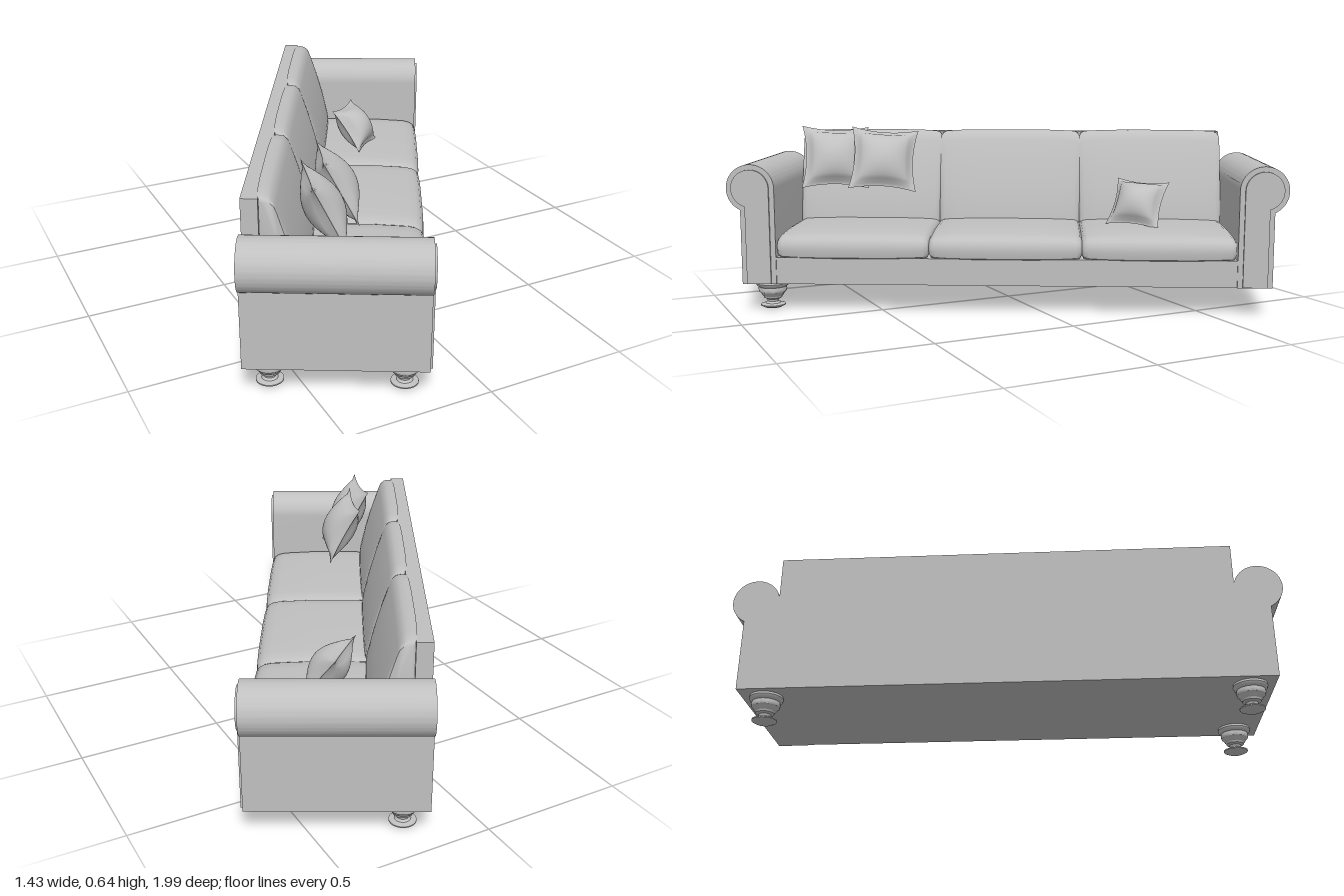
import * as THREE from 'three';
import { toCreasedNormals, mergeGeometries } from 'three/addons/utils/BufferGeometryUtils.js';

const fabric = new THREE.MeshStandardMaterial({ color: 0xc0c0c0 });
fabric.name = 'greyFabric';

function add(parent, name, geometry) {
  const mesh = new THREE.Mesh(geometry, fabric);
  mesh.name = name;
  parent.add(mesh);
  return mesh;
}

function box(parent, name, x0, x1, y0, y1, z0, z1) {
  const g = new THREE.BoxGeometry(x1 - x0, y1 - y0, z1 - z0);
  add(parent, name, g).position.set((x0 + x1) / 2, (y0 + y1) / 2, (z0 + z1) / 2);
}

// Cushion lofted along x from a [z, y] profile, drawn in towards both ends
function cushionGeometry(profile, x0, x1) {
  const ends = [[0, 1], [0, 0.022], [0.006, 0.012], [0.02, 0.006], [0.07, 0.003], [0.16, 0.001]];
  const stations = [
    ...ends.map(([d, inset]) => [x0 + d, inset]),
    ...ends.map(([d, inset]) => [x1 - d, inset]).reverse(),
  ];
  const zs = profile.map(p => p[0]), ys = profile.map(p => p[1]);
  const mid = a => (Math.min(...a) + Math.max(...a)) / 2;
  const half = a => (Math.max(...a) - Math.min(...a)) / 2;
  const cz = mid(zs), cy = mid(ys), hz = half(zs), hy = half(ys);
  const positions = [], index = [], n = profile.length;
  for (const [x, inset] of stations) {
    for (const [z, y] of profile) {
      positions.push(x, cy + (y - cy) * Math.max(0, 1 - inset / hy), cz + (z - cz) * Math.max(0, 1 - inset / hz));
    }
  }
  for (let i = 0; i < stations.length - 1; i++) {
    for (let j = 0; j < n; j++) {
      const k = (j + 1) % n;
      const a = i * n + j, b = i * n + k, c = b + n, d = a + n;
      index.push(a, d, c, a, c, b);
    }
  }
  const g = new THREE.BufferGeometry();
  g.setAttribute('position', new THREE.Float32BufferAttribute(positions, 3));
  g.setIndex(index);
  return toCreasedNormals(g, 0.7);
}

// Scroll arm outline: upright panel with a roll leaning outwards
function armGeometry(inset, depth, side, z) {
  const r = 0.0845 - inset, cx = 0.893, cy = 0.44;
  const inner = cx - r, outer = 0.93 - inset, bottom = 0.1 + (inset ? 0.002 : 0);
  const end = -Math.acos((outer - cx) / r);
  const s = new THREE.Shape();
  s.moveTo(inner, bottom);
  s.lineTo(inner, cy);
  s.absarc(cx, cy, r, Math.PI, end, true);
  s.lineTo(outer, bottom);
  s.closePath();
  const g = new THREE.ExtrudeGeometry(s, { depth, bevelEnabled: false, curveSegments: 28 });
  g.translate(0, 0, -depth / 2);
  if (side < 0) g.rotateY(Math.PI);
  g.translate(0, 0, z);
  return toCreasedNormals(g, 0.6);
}

// Square throw pillow with pinched sides, pointed corners and a flat flange
function pillowGeometry(size, thickness) {
  const sheet = new THREE.PlaneGeometry(2, 2, 20, 20);
  const p = sheet.attributes.position;
  for (let i = 0; i < p.count; i++) {
    const u = p.getX(i), v = p.getY(i);
    const a = Math.max(0, 1 - (u / 0.9) ** 2), b = Math.max(0, 1 - (v / 0.9) ** 2);
    const rim = Math.max(Math.abs(u), Math.abs(v)) > 0.99 ? 0 : 0.004;
    p.setXYZ(i,
      u * size / 2 * (1 - 0.13 * (1 - v * v)),
      v * size / 2 * (1 - 0.13 * (1 - u * u)),
      rim + thickness / 2 * Math.pow(a * b, 0.6));
  }
  sheet.computeVertexNormals();
  return mergeGeometries([sheet, sheet.clone().rotateY(Math.PI)]);
}

export function createModel() {
  const model = new THREE.Group();
  model.name = 'sofaWithPillows';
  const sofa = new THREE.Group();
  sofa.name = 'sofa';
  sofa.rotation.y = 1.077;
  model.add(sofa);

  // Frame
  box(sofa, 'seatBase', -0.82, 0.82, 0.1, 0.195, -0.288, 0.278);
  box(sofa, 'backFrame', -0.81, 0.81, 0.1, 0.61, -0.288, -0.235);

  // Arms with a raised front panel
  for (const side of [-1, 1]) {
    const label = side > 0 ? 'left' : 'right';
    add(sofa, label + 'Arm', armGeometry(0, 0.57, side, -0.003));
    add(sofa, label + 'ArmFrontPanel', armGeometry(0.018, 0.012, side, 0.283));
  }

  // Seat and back cushions
  const seatProfile = [
    [-0.2, 0.185], [0.27, 0.185], [0.284, 0.195], [0.289, 0.22], [0.287, 0.242],
    [0.278, 0.26], [0.262, 0.271], [0.235, 0.278], [0.1, 0.286], [-0.05, 0.286], [-0.2, 0.282],
  ];
  const backProfile = [
    [-0.245, 0.25], [-0.095, 0.25], [-0.1, 0.3], [-0.124, 0.4], [-0.154, 0.5],
    [-0.184, 0.58], [-0.195, 0.603], [-0.21, 0.615], [-0.228, 0.618], [-0.245, 0.616],
  ];
  for (let i = 0; i < 3; i++) {
    const x0 = -0.807 + i * 0.538, x1 = x0 + 0.538;
    add(sofa, 'seatCushion' + (i + 1), cushionGeometry(seatProfile, x0, x1));
    add(sofa, 'backCushion' + (i + 1), cushionGeometry(backProfile, x0, x1));
  }

  // Turned feet: the front left corner has none
  const footProfile = [
    [0, 0], [0.03, 0.002], [0.044, 0.009], [0.044, 0.013], [0.026, 0.017], [0.02, 0.024], [0.022, 0.032],
    [0.032, 0.037], [0.034, 0.044], [0.038, 0.047], [0.043, 0.056], [0.048, 0.06], [0.051, 0.07],
    [0.049, 0.078], [0.056, 0.083], [0.06, 0.092], [0.058, 0.102], [0, 0.102],
  ].map(([r, y]) => new THREE.Vector2(r, y));
  const foot = toCreasedNormals(new THREE.LatheGeometry(footProfile, 28), 0.6);
  for (const [name, x, z] of [
    ['frontRightFoot', -0.843, 0.208], ['backRightFoot', -0.843, -0.212], ['backLeftFoot', 0.843, -0.208],
  ]) add(sofa, name, foot).position.set(x, 0, z);

  // Throw pillows: position, yaw, backward lean, roll, size, thickness
  for (const [name, x, y, z, yaw, lean, roll, size, thick] of [
    ['cornerPillow', -0.355, 0.522, 0.555, 1.3, 0.45, -0.03, 0.25, 0.12],
    ['middlePillow', -0.235, 0.518, 0.405, 1.26, 0.48, -0.08, 0.25, 0.12],
    ['loosePillow', 0.248, 0.362, -0.412, 0.75, 0.65, -0.06, 0.2, 0.12],
  ]) {
    const pillow = add(model, name, pillowGeometry(size, thick));
    pillow.position.set(x, y, z);
    pillow.rotation.set(-lean, yaw, roll, 'YXZ');
  }
  return model;
}
